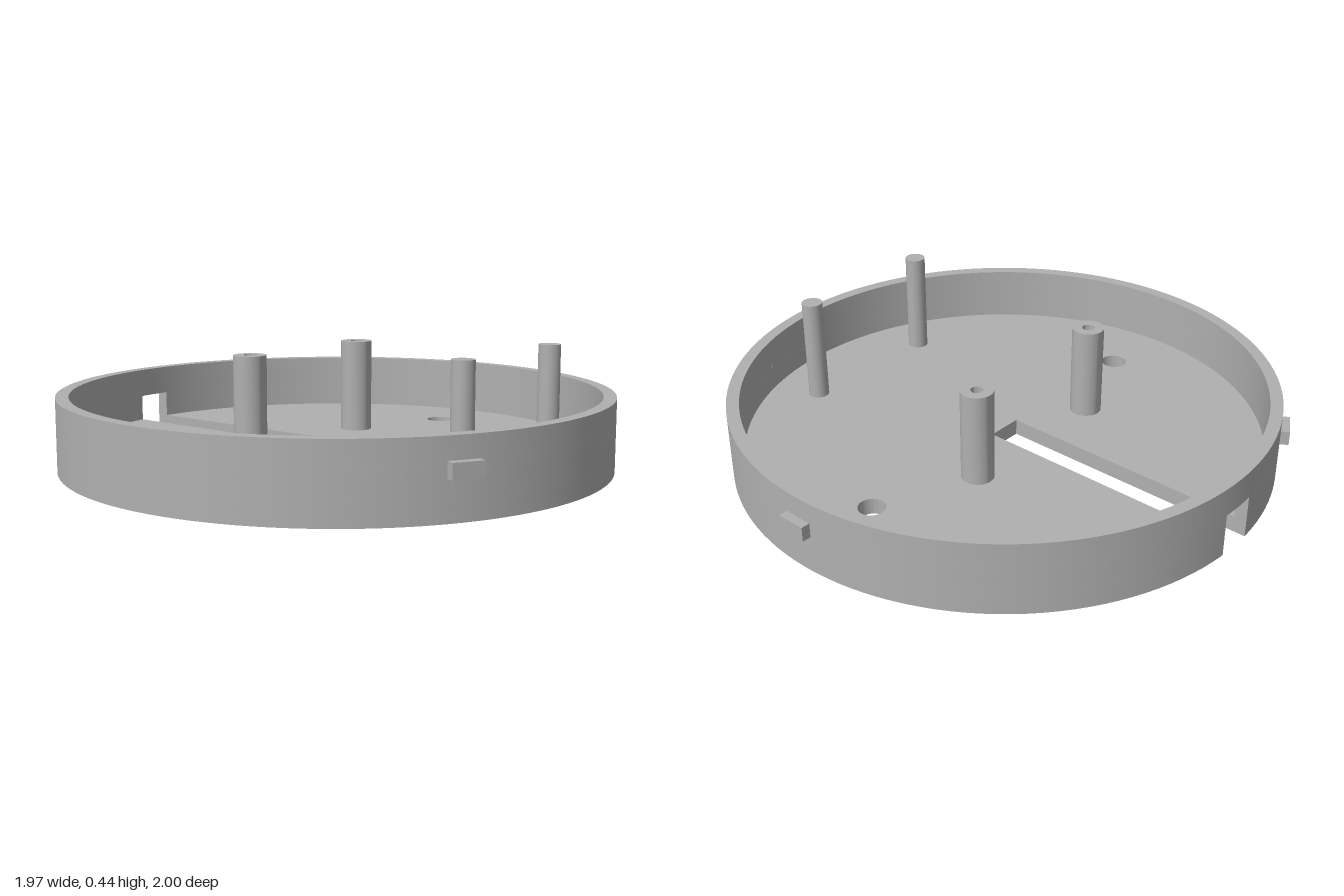
import * as THREE from 'three';
import { toCreasedNormals } from 'three/addons/utils/BufferGeometryUtils.js';

export function createModel() {
  const model = new THREE.Group();
  const tray = new THREE.Group();
  tray.name = 'tray';
  tray.position.z = 0.015;
  model.add(tray);

  const grey = new THREE.MeshStandardMaterial({ color: 0xb0b0b0 });
  grey.name = 'grey plastic';

  const R = 0.985, INNER = 0.94, HALF_SLOT = 0.067;
  const FLOOR = 0.06, NOTCH_TOP = 0.155, RIM = 0.26;

  const add = (name, geometry, x = 0, y = 0, z = 0) => {
    const mesh = new THREE.Mesh(geometry, grey);
    mesh.name = name;
    mesh.position.set(x, y, z);
    tray.add(mesh);
    return mesh;
  };
  // Raise a plan outline into a solid between two heights
  const slab = (shape, y0, y1, curveSegments) => {
    const g = new THREE.ExtrudeGeometry(shape, { depth: y1 - y0, bevelEnabled: false, curveSegments });
    g.rotateX(-Math.PI / 2).translate(0, y0, 0);
    return toCreasedNormals(g, 0.6);
  };
  const circle = (r, x = 0, y = 0) => new THREE.Path().absarc(x, y, r, 0, Math.PI * 2, false);
  const ring = (outer, inner) => {
    const s = new THREE.Shape().absarc(0, 0, outer, 0, Math.PI * 2, false);
    s.holes.push(circle(inner));
    return s;
  };

  // Floor disc with an open slot and two screw holes
  const a = Math.PI - Math.asin(HALF_SLOT / R);
  const b = Math.PI - Math.asin(HALF_SLOT / INNER);
  const floor = new THREE.Shape().absarc(0, 0, R, -a, a, false);
  floor.lineTo(0, HALF_SLOT);
  floor.lineTo(0, -HALF_SLOT);
  floor.closePath();
  floor.holes.push(circle(0.048, 0, 0.675), circle(0.048, 0, -0.675));
  add('floor', slab(floor, 0, FLOOR, 64));

  // Wall: lower part is notched by the slot, upper part is a full ring
  const notched = new THREE.Shape().absarc(0, 0, R, -a, a, false);
  notched.absarc(0, 0, INNER, b, -b, true);
  notched.closePath();
  add('notchedWall', slab(notched, FLOOR, NOTCH_TOP, 64));
  add('upperWall', slab(ring(R, INNER), NOTCH_TOP, RIM, 64));

  // Hollow screw posts and solid locating pins
  for (const side of [-1, 1]) {
    add('screwPost', slab(ring(0.058, 0.022), FLOOR, 0.4, 20), -0.14, 0, side * 0.304);
    const pin = new THREE.CylinderGeometry(0.038, 0.038, 0.445 - FLOOR, 32);
    add('locatingPin', pin, 0.707, (0.445 + FLOOR) / 2, side * 0.273);
  }

  // Three snap tabs spaced evenly round the wall
  for (let i = 0; i < 3; i++) {
    const t = Math.PI + (i * Math.PI * 2) / 3;
    const r = 0.99;
    const tab = add('snapTab', new THREE.BoxGeometry(0.105, 0.052, 0.05),
      Math.sin(t) * r, 0.16, Math.cos(t) * r);
    tab.rotation.y = t;
  }
  return model;
}
